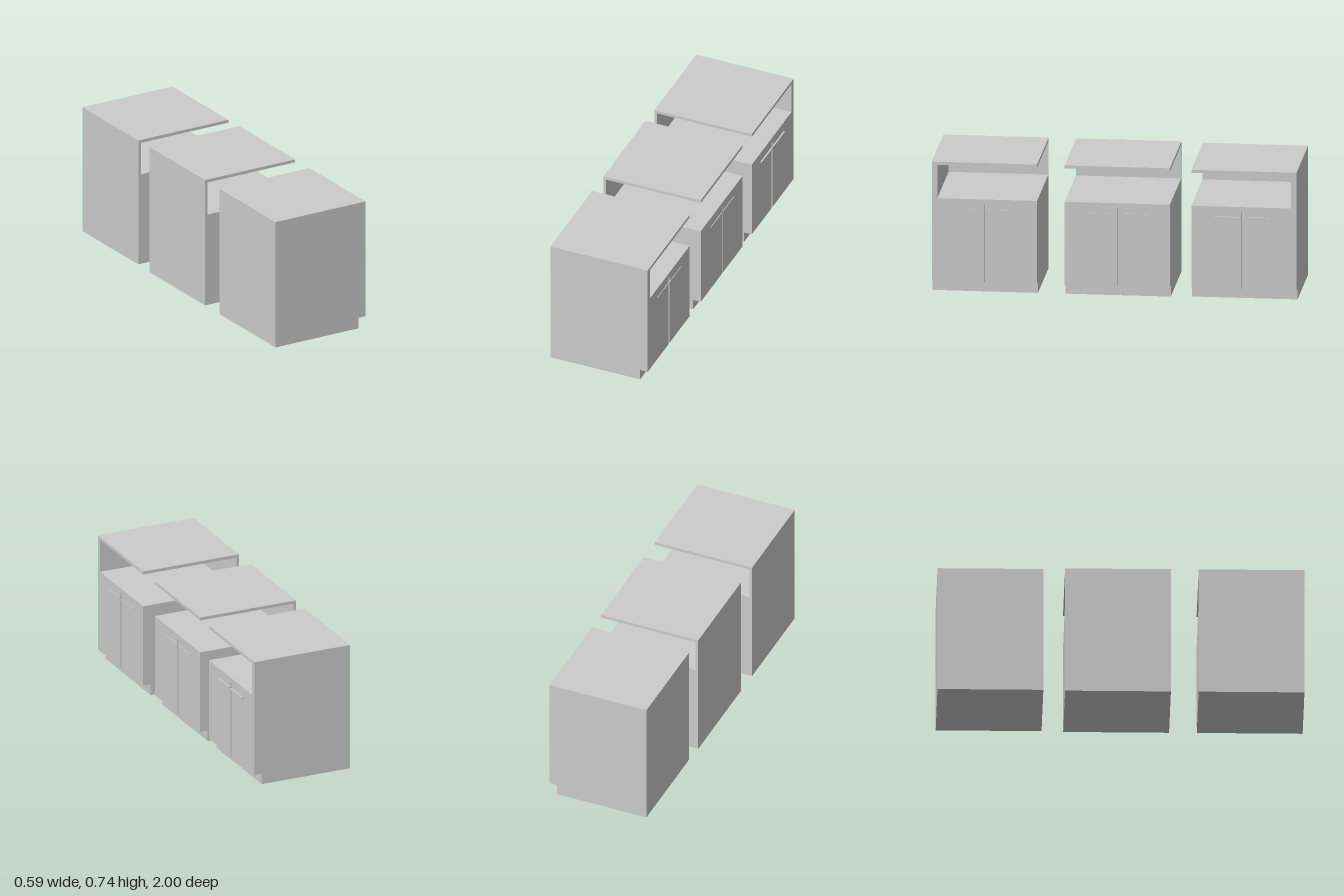
import * as THREE from 'three';

const mat = new THREE.MeshStandardMaterial({ color: 0xcccccc, flatShading: true });

// Cabinet measurements: doors face +x, width runs along z
const BACK = -0.297, FRONT = 0.281, KICK_X = 0.236, KICK_Y = 0.062;
const COUNTER = 0.53, SLAB = 0.718, TOP = 0.735;
const HALF = 0.2885, WALL = 0.03, DOOR = 0.015, BACK_T = 0.016;

function add(group, name, geometry) {
  const mesh = new THREE.Mesh(geometry, mat);
  mesh.name = name;
  group.add(mesh);
}

// Box given by its lower and upper corners
function box(group, name, x0, x1, y0, y1, z0, z1) {
  const g = new THREE.BoxGeometry(x1 - x0, y1 - y0, z1 - z0);
  g.translate((x0 + x1) / 2, (y0 + y1) / 2, (z0 + z1) / 2);
  add(group, name, g);
}

function outline(points) {
  return new THREE.Shape(points.map(([x, y]) => new THREE.Vector2(x, y)));
}

// end: +1 or -1 puts a side wall beside the shelf at that z end, 0 leaves both open
function cabinet(name, end, seam, reach) {
  const g = new THREE.Group();
  g.name = name;

  // Lower body with the recessed toe kick
  const inner = FRONT - DOOR;
  const body = new THREE.ExtrudeGeometry(outline([
    [BACK, 0], [KICK_X, 0], [KICK_X, KICK_Y], [inner, KICK_Y], [inner, COUNTER], [BACK, COUNTER],
  ]), { depth: HALF * 2, bevelEnabled: false });
  body.translate(0, 0, -HALF);
  add(g, 'lowerBody', body);

  // Door front, split by a narrow seam below the top rail
  const s = -seam, w = 0.006;
  const doors = new THREE.ExtrudeGeometry(outline([
    [-HALF, KICK_Y], [s - w, KICK_Y], [s - w, 0.502], [s + w, 0.502],
    [s + w, KICK_Y], [HALF, KICK_Y], [HALF, COUNTER], [-HALF, COUNTER],
  ]), { depth: DOOR, bevelEnabled: false });
  doors.rotateY(Math.PI / 2).translate(inner, 0, 0);
  add(g, 'doors', doors);

  // Open shelf: back wall, top slab and optional end wall
  box(g, 'shelfBack', BACK, BACK + BACK_T, COUNTER, SLAB, -HALF, HALF);
  box(g, 'topSlab', BACK, FRONT, SLAB, TOP, -HALF, HALF);
  if (end !== 0) {
    const a = end * HALF, b = end * (HALF - WALL);
    box(g, 'shelfEnd', BACK + BACK_T, FRONT, COUNTER, SLAB, Math.min(a, b), Math.max(a, b));
  }

  // A pair of bar handles, one each side of the seam
  for (const side of [-1, 1]) {
    const a = seam + side * 0.008, b = seam + side * 0.158;
    box(g, 'handle', FRONT, FRONT + reach, 0.465, 0.473, Math.min(a, b), Math.max(a, b));
  }
  return g;
}

export function createModel() {
  const model = new THREE.Group();
  model.name = 'cabinetRow';

  const right = cabinet('cabinetFrontEnd', 1, -0.006, 0.004);
  right.position.set(0, 0, 0.7115);

  const middle = cabinet('cabinetMiddle', 0, -0.008, 0.004);
  middle.position.set(0.001, 0, -0.0165);

  const left = cabinet('cabinetBackEnd', -1, 0.009, 0.009);
  left.position.set(0.004, 0.005, -0.7115);
  left.scale.y = 0.988;

  model.add(right, middle, left);
  return model;
}
